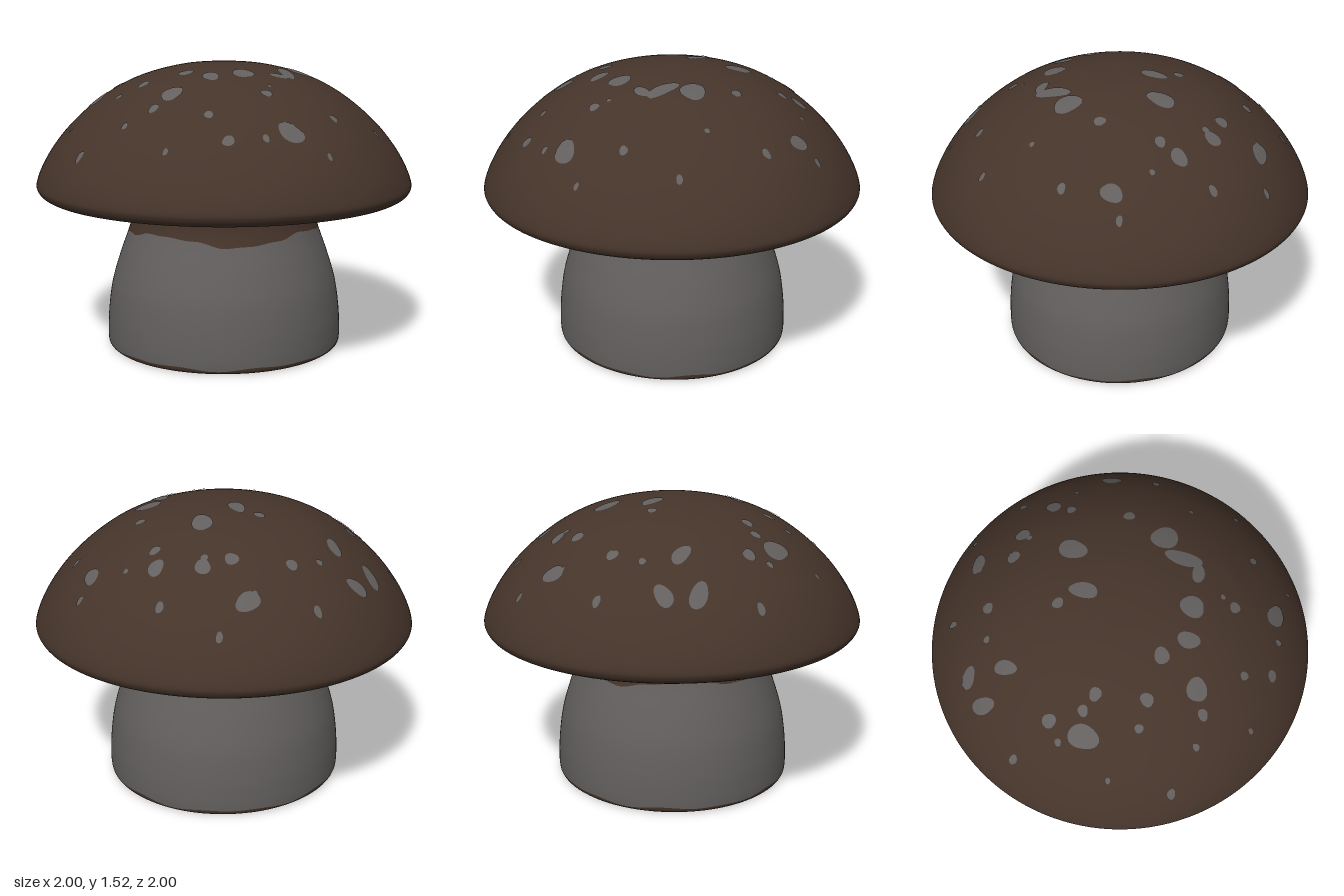
import * as THREE from 'three';
import { mergeGeometries, mergeVertices } from 'three/addons/utils/BufferGeometryUtils.js';

const V = (x, y) => new THREE.Vector2(x, y);
const spline = (pts, n) => new THREE.SplineCurve(pts.map(p => V(p[0], p[1]))).getPoints(n);

// Cap outline, underside edge up to the crown: [radius, height]
const CAP = spline([[0.57, 0.828], [0.75, 0.827], [0.92, 0.826], [0.968, 0.836], [0.994, 0.862], [0.998, 0.9],
  [0.965, 0.985], [0.905, 1.085], [0.82, 1.19], [0.7, 1.3], [0.56, 1.395], [0.4, 1.465], [0.2, 1.512], [0, 1.525]], 140);
// Stem outline, foot up to the flare under the cap
const STEM = spline([[0.622, 0.003], [0.635, 0.02], [0.637, 0.08], [0.63, 0.2], [0.607, 0.35], [0.562, 0.5],
  [0.512, 0.64], [0.492, 0.72], [0.498, 0.77], [0.525, 0.805], [0.59, 0.829]], 140);
const STEM_Z = 0.98;

// Linear lookup of one outline coordinate from the other
function lookup(pts, from, to, v) {
  for (let i = 1; i < pts.length; i++) {
    const a = pts[i - 1], b = pts[i];
    if ((v - a[from]) * (v - b[from]) <= 0 && a[from] !== b[from]) {
      return a[to] + (b[to] - a[to]) * (v - a[from]) / (b[from] - a[from]);
    }
  }
  return v <= pts[0][from] ? pts[0][to] : pts[pts.length - 1][to];
}
const CAP_TOP = CAP.filter(p => p.y > 0.9).reverse();
const capHeight = r => lookup(CAP_TOP, 'x', 'y', Math.min(Math.abs(r), 0.995));

// Section of the stem between two wavy height lines
function stemBand(low, high, rows) {
  const pts = Array.from({ length: rows + 1 }, (_, i) => V(1, i / rows));
  let g = new THREE.LatheGeometry(pts, 128);
  const p = g.attributes.position;
  for (let i = 0; i < p.count; i++) {
    const a = Math.atan2(p.getX(i), p.getZ(i));
    const y = THREE.MathUtils.lerp(low(a), high(a), p.getY(i));
    const r = lookup(STEM, 'y', 'x', y);
    p.setXYZ(i, r * Math.sin(a), y, r * Math.cos(a) * STEM_Z);
  }
  g.deleteAttribute('uv');
  g.deleteAttribute('normal');
  g = mergeVertices(g, 1e-5);
  g.computeVertexNormals();
  return g;
}

// Slightly uneven oval patch; place(x, z) returns the surface point
function patch([x, z, rx, rz = rx], seed, place) {
  const g = new THREE.RingGeometry(0.001, 1, 26, 3);
  const p = g.attributes.position;
  for (let i = 0; i < p.count; i++) {
    const a = Math.atan2(p.getY(i), p.getX(i));
    const w = 1 + 0.06 * Math.sin(2 * a + seed * 1.7) + 0.05 * Math.sin(3 * a + seed * 2.3);
    p.setXYZ(i, ...place(x + p.getX(i) * w * rx, z - p.getY(i) * w * rz));
  }
  g.computeVertexNormals();
  return g;
}
const patches = (spots, place) => mergeGeometries(spots.map((s, i) => patch(s, i, place)));

// Point just above the cap at (x, z)
function onCap(x, z) {
  const r = Math.max(Math.hypot(x, z), 1e-6);
  const slope = (capHeight(r + 0.01) - capHeight(r - 0.01)) / 0.02;
  const k = 0.004 / Math.hypot(1, slope);
  const out = 1 - slope * k / r;
  return [x * out, capHeight(r) + k, z * out];
}

// Main cap spots: x, z, half width, half depth (round if left out)
const SPOTS = [
  [0.11, -0.77, 0.06, 0.036], [-0.48, -0.65, 0.05, 0.036], [-0.6, -0.54, 0.038, 0.058], [-0.43, -0.46, 0.035, 0.056],
  [-0.15, -0.63, 0.027], [0.13, -0.575, 0.032], [0.27, -0.57, 0.037], [0.47, -0.465, 0.039], [0.45, -0.365, 0.026],
  [-0.1, -0.28, 0.027], [-0.63, -0.19, 0.032], [0.195, -0.285, 0.053, 0.072], [-0.015, -0.175, 0.038, 0.075],
  [0.74, -0.23, 0.033, 0.052], [-0.665, -0.015, 0.053, 0.072], [-0.56, -0.04, 0.025], [-0.48, 0, 0.03],
  [0.455, -0.065, 0.027], [-0.445, 0.24, 0.031], [-0.235, 0.26, 0.038], [0.37, 0.135, 0.065, 0.068],
  [0.28, 0.25, 0.042, 0.09], [0.225, 0.335, 0.055, 0.03], [0.04, 0.345, 0.052, 0.062], [-0.125, 0.365, 0.04, 0.055],
  [-0.33, 0.455, 0.057, 0.047], [-0.425, 0.51, 0.025], [0.12, 0.545, 0.027], [0.195, 0.755, 0.063, 0.043],
  [-0.11, 0.8, 0.03, 0.02],
];
// Small flecks spread around the outer cap at golden-angle steps
const FLECKS = Array.from({ length: 24 }, (_, i) => {
  const a = i * 2.4 + 0.3, r = 0.5 + 0.4 * Math.sqrt(i / 23);
  return [r * Math.sin(a), r * Math.cos(a), 0.012 + 0.004 * (i % 3)];
});
// Patches under the foot, in a ring around the middle
const FOOT_SPOTS = [
  [-0.03, 0.35, 0.11, 0.1], [-0.18, 0.22, 0.06, 0.07], [-0.31, 0.02, 0.1, 0.14], [-0.2, -0.15, 0.06, 0.05],
  [0.03, -0.29, 0.14, 0.11], [0.33, -0.02, 0.12, 0.17], [0.21, -0.08, 0.08], [0.25, 0.13, 0.07],
];

export function createModel() {
  const group = new THREE.Group();
  const mat = (name, color) => Object.assign(new THREE.MeshStandardMaterial({ color }), { name });
  const brown = mat('dark brown', 0x45342a);
  const grey = mat('warm grey', 0x625f5e);
  const add = (name, geometry, material) => {
    const m = new THREE.Mesh(geometry, material);
    m.name = name;
    group.add(m);
    return m;
  };

  // Cap with its flat underside
  add('cap', new THREE.LatheGeometry(CAP, 128), brown);
  add('capSpots', patches([...SPOTS, ...FLECKS], onCap), grey);

  // Stem: brown foot rim, grey body, brown neck
  const footLine = a => 0.026 + 0.005 * Math.sin(7 * a) + 0.004 * Math.sin(12 * a + 1);
  const neckLine = a => 0.643 - 0.019 * Math.cos(4 * a) + 0.004 * Math.sin(11 * a) + 0.003 * Math.sin(18 * a + 2);
  add('footRim', stemBand(() => 0.003, footLine, 4), brown);
  add('stem', stemBand(footLine, neckLine, 24), grey);
  add('neck', stemBand(neckLine, () => 0.829, 20), brown);

  // Underside of the foot, its patches turned to face down
  const sole = add('sole', new THREE.CircleGeometry(0.622, 128).rotateX(Math.PI / 2), brown);
  sole.position.y = 0.003;
  sole.scale.z = STEM_Z;
  const underFoot = (u, v) => [-0.82 * u + 0.57 * v, 0, -0.57 * u - 0.82 * v];
  const soleSpots = patches(FOOT_SPOTS.map(([u, v, ...size]) => [-u, v, ...size]), (u, v) => underFoot(-u, v));
  add('soleSpots', soleSpots, grey);
  return group;
}
